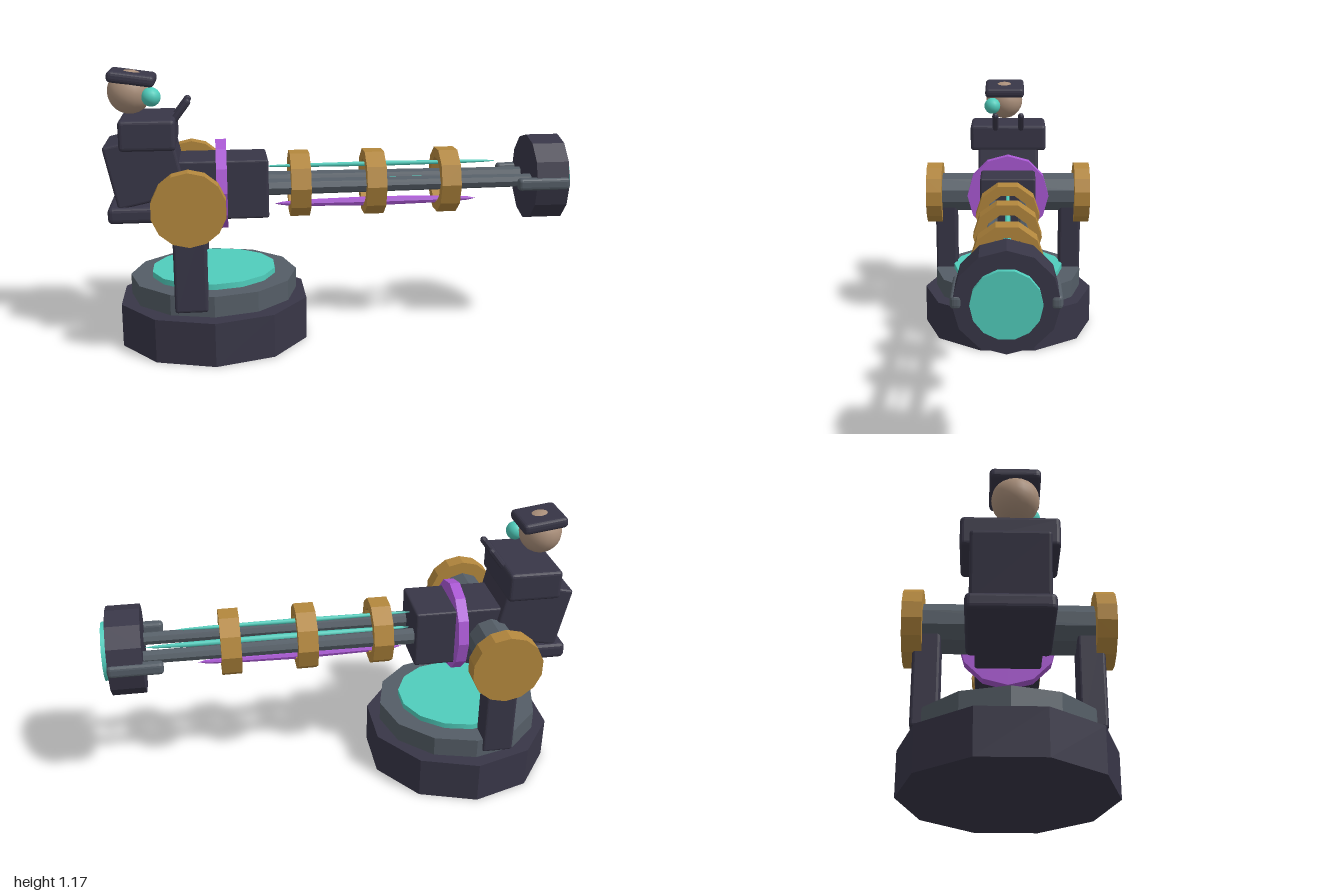
import * as THREE from 'three';
import { RoundedBoxGeometry } from 'three/addons/geometries/RoundedBoxGeometry.js';

const mat = (name, color, flatShading = true) => {
  const m = new THREE.MeshStandardMaterial({ color, flatShading });
  m.name = name;
  return m;
};

export function createModel() {
  const dark = mat('darkArmor', 0x383647);
  const grey = mat('steelGrey', 0x545d66);
  const cyan = mat('glowCyan', 0x50cdbc);
  const gold = mat('brassGold', 0xb3873d);
  const purple = mat('energyPurple', 0xaa58d4);
  const skin = mat('skinTan', 0xab907b, false);
  const cyanSmooth = cyan;
  cyanSmooth.flatShading = false;

  const root = new THREE.Group();
  root.name = 'turret';
  const add = (name, geo, material, x, y, z, tilt = 0) => {
    const mesh = new THREE.Mesh(geo, material);
    mesh.name = name;
    mesh.position.set(x, y, z);
    mesh.rotation.z = tilt;
    root.add(mesh);
    return mesh;
  };
  const box = (w, h, d, r = 0.012) => new RoundedBoxGeometry(w, h, d, 2, r);
  const disc = (r, h, n) => new THREE.CylinderGeometry(r, r, h, n);
  const discX = (r, h, n) => disc(r, h, n).rotateZ(-Math.PI / 2);
  const discZ = (r, h, n) => disc(r, h, n).rotateX(Math.PI / 2);

  // Slender rod along x, narrowing to a point at both ends
  const spindle = (length, r) => {
    const profile = [-0.5, -0.46, -0.35, 0, 0.35, 0.46, 0.5].map(
      (t) => new THREE.Vector2(r * Math.sqrt(Math.max(0, 1 - 4 * t * t)), t * length));
    return new THREE.LatheGeometry(profile, 8).rotateZ(-Math.PI / 2);
  };

  // Faceted ring around the x axis with a rectangular section
  const ringX = (outer, inner, w, n) => {
    const h = w / 2;
    const profile = [[inner, -h], [outer, -h], [outer, h], [inner, h], [inner, -h]]
      .map(([r, y]) => new THREE.Vector2(r, y));
    return new THREE.LatheGeometry(profile, n).rotateZ(-Math.PI / 2);
  };

  // Stepped pedestal
  const cx = -0.56;
  add('base', disc(0.415, 0.185, 10), dark, cx, 0.0925, 0);
  add('turntable', disc(0.36, 0.087, 12), grey, cx, 0.237, 0);
  add('turntableGlow', disc(0.27, 0.025, 14), cyan, cx, 0.2925, 0);

  // Cradle posts, trunnion and side wheels
  add('trunnion', discZ(0.096, 0.68, 10), grey, -0.65, 0.655, 0);
  for (const s of [1, -1]) {
    add('cradlePost', box(0.135, 0.4, 0.105), dark, -0.652, 0.415, s * 0.308);
    add('sideWheel', discZ(0.151, 0.075, 14), gold, -0.65, 0.654, s * 0.363);
  }

  // Receiver and its energy collar
  const by = 0.67;
  add('receiver', box(0.4, 0.253, 0.26, 0.01), dark, -0.52, by + 0.002, 0);
  add('collar', discX(0.197, 0.045, 12), purple, -0.517, by + 0.002, 0);

  // Twin rails, clamped by three rings
  for (const s of [1, -1]) {
    const rail = new THREE.CylinderGeometry(0.028, 0.036, 1.2, 8).rotateZ(-Math.PI / 2);
    add('rail', rail, grey, 0.26, by, s * 0.08);
  }
  for (const x of [-0.182, 0.143, 0.468]) {
    add('clampRing', ringX(0.145, 0.1, 0.085, 10), gold, x, by - 0.002, 0);
  }
  add('upperConduit', spindle(1.04, 0.011), cyan, 0.18, 0.745, 0);
  add('coreConduit', spindle(1.16, 0.016), cyan, 0.25, by, 0);
  add('lowerConduit', spindle(0.9, 0.021), purple, 0.16, 0.577, 0);

  // Muzzle with glowing face and side prongs
  add('muzzle', discX(0.19, 0.143, 12), dark, 0.905, by, 0);
  add('muzzleGlow', discX(0.127, 0.03, 14), cyan, 0.985, by, 0);
  for (const s of [1, -1]) {
    add('muzzleProng', box(0.23, 0.054, 0.044, 0.016), grey, 0.865, by + 0.002, s * 0.174);
  }

  // Gunner: seat, leaning torso, shoulders
  add('seat', box(0.36, 0.07, 0.33, 0.02), dark, -0.81, 0.58, 0);
  add('torso', box(0.29, 0.27, 0.3), dark, -0.832, 0.765, 0, 0.21);
  add('shoulders', box(0.23, 0.128, 0.375, 0.016), dark, -0.815, 0.917, 0);
  for (const s of [1, -1]) {
    add('controlLever', new THREE.CapsuleGeometry(0.015, 0.085, 3, 8), dark,
      -0.678, 1.003, s * 0.063, -0.65);
  }

  // Head, tilted cap and eyepiece
  add('head', new THREE.SphereGeometry(0.092, 20, 14), skin, -0.888, 1.08, 0.02);
  add('cap', box(0.195, 0.048, 0.195, 0.018), dark, -0.876, 1.14, 0.018, -0.14);
  add('eyepiece', new THREE.SphereGeometry(0.04, 16, 12), cyanSmooth, -0.797, 1.064, 0.08);

  return root;
}
